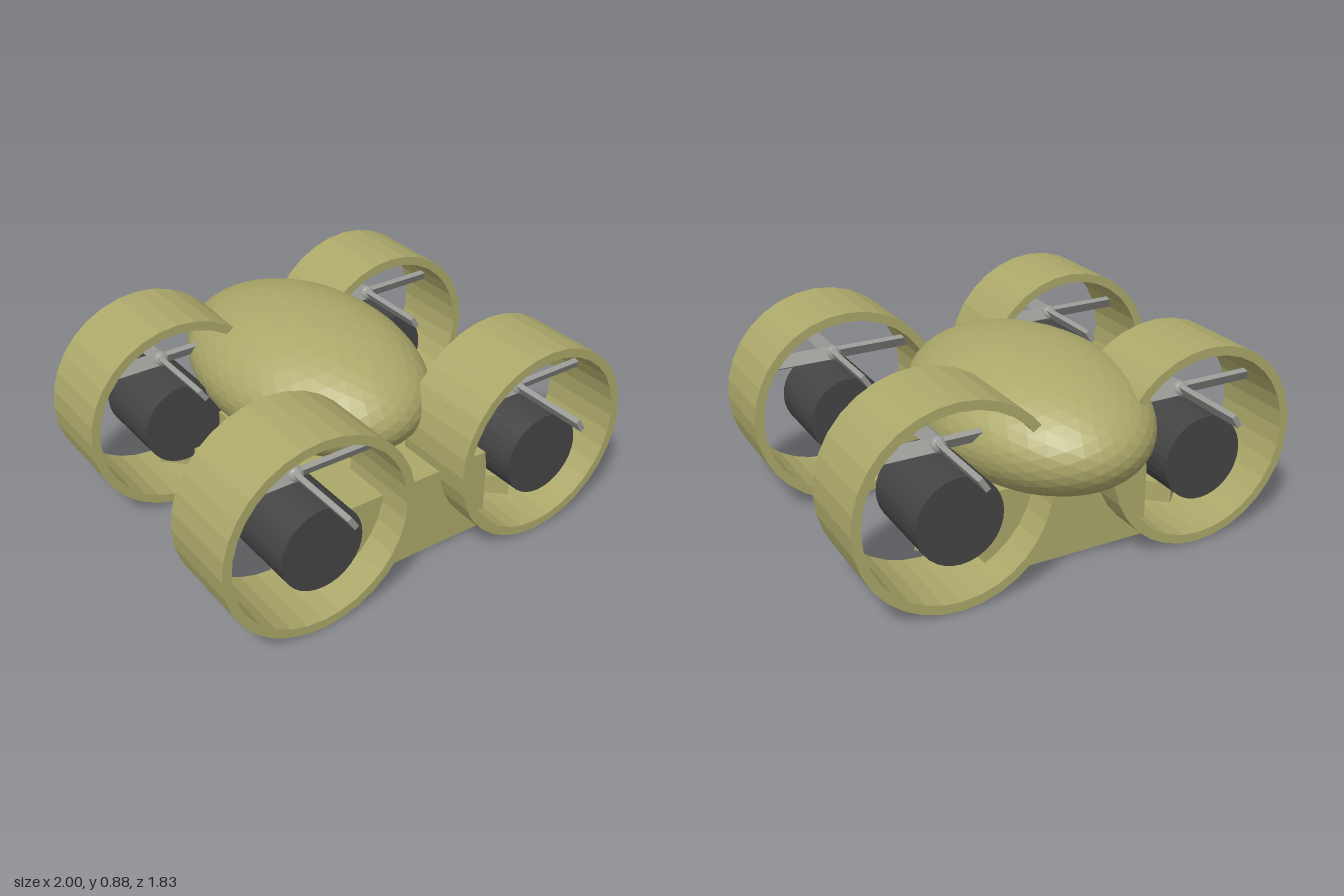
import * as THREE from 'three';

const material = (color) => new THREE.MeshStandardMaterial({ color, flatShading: true });

export function createModel() {
  const model = new THREE.Group();
  const hullMat = material(0xaca86a);
  const motorMat = material(0x444444);
  const bladeMat = material(0x999a96);

  const add = (parent, name, geometry, mat, x = 0, y = 0, z = 0) => {
    const mesh = new THREE.Mesh(geometry, mat);
    mesh.name = name;
    mesh.position.set(x, y, z);
    parent.add(mesh);
    return mesh;
  };

  // Central fuselage: box base with an egg-shaped canopy set towards the back
  add(model, 'baseBox', new THREE.BoxGeometry(0.77, 0.38, 1.15), hullMat, 0, 0.205, 0);
  const canopy = new THREE.IcosahedronGeometry(1, 7).scale(0.46, 0.29, 0.685);
  add(model, 'canopy', canopy, hullMat, 0, 0.575, -0.23);

  // Shared geometry of the four rotor units
  const ring = new THREE.Shape().absarc(0, 0, 0.44, 0, Math.PI * 2);
  ring.holes.push(new THREE.Path().absarc(0, 0, 0.4, 0, Math.PI * 2, true));
  const ductGeo = new THREE.ExtrudeGeometry(ring, { depth: 0.38, bevelEnabled: false, curveSegments: 16 });
  ductGeo.translate(0, 0, -0.19);
  const motorGeo = new THREE.CylinderGeometry(0.185, 0.185, 0.37, 32).rotateX(Math.PI / 2);
  const hubGeo = new THREE.IcosahedronGeometry(0.036, 3);
  // Blade pointing to -x, pitched about its own length
  const bladeGeo = new THREE.BoxGeometry(0.38, 0.022, 0.06).rotateX(1.0).translate(-0.19, 0, 0);
  const strutGeo = new THREE.BoxGeometry(0.225, 0.09, 0.78).translate(0, 0, 0.39);

  for (const sx of [1, -1]) {
    for (const sz of [1, -1]) {
      const unit = new THREE.Group();
      unit.name = (sz > 0 ? 'front' : 'back') + (sx > 0 ? 'Left' : 'Right') + 'RotorUnit';
      unit.position.set(sx * 0.56, 0, sz * 0.535);
      model.add(unit);

      add(unit, 'duct', ductGeo, hullMat, 0, 0.445, 0);
      add(unit, 'motor', motorGeo, motorMat, 0, 0.395, 0);

      // Four-bladed propeller on a vertical axis
      const propeller = new THREE.Group();
      propeller.name = 'propeller';
      propeller.position.y = 0.638;
      unit.add(propeller);
      add(propeller, 'hub', hubGeo, bladeMat);
      for (let i = 0; i < 4; i++) {
        add(propeller, 'blade', bladeGeo, bladeMat).rotation.y = i * Math.PI / 2;
      }

      // Diagonal arm from the middle of the base to the motor
      const strut = add(model, 'strut', strutGeo, hullMat, 0, 0.205, 0);
      strut.rotation.y = Math.atan2(sx * 0.56, sz * 0.545);
    }
  }
  return model;
}
